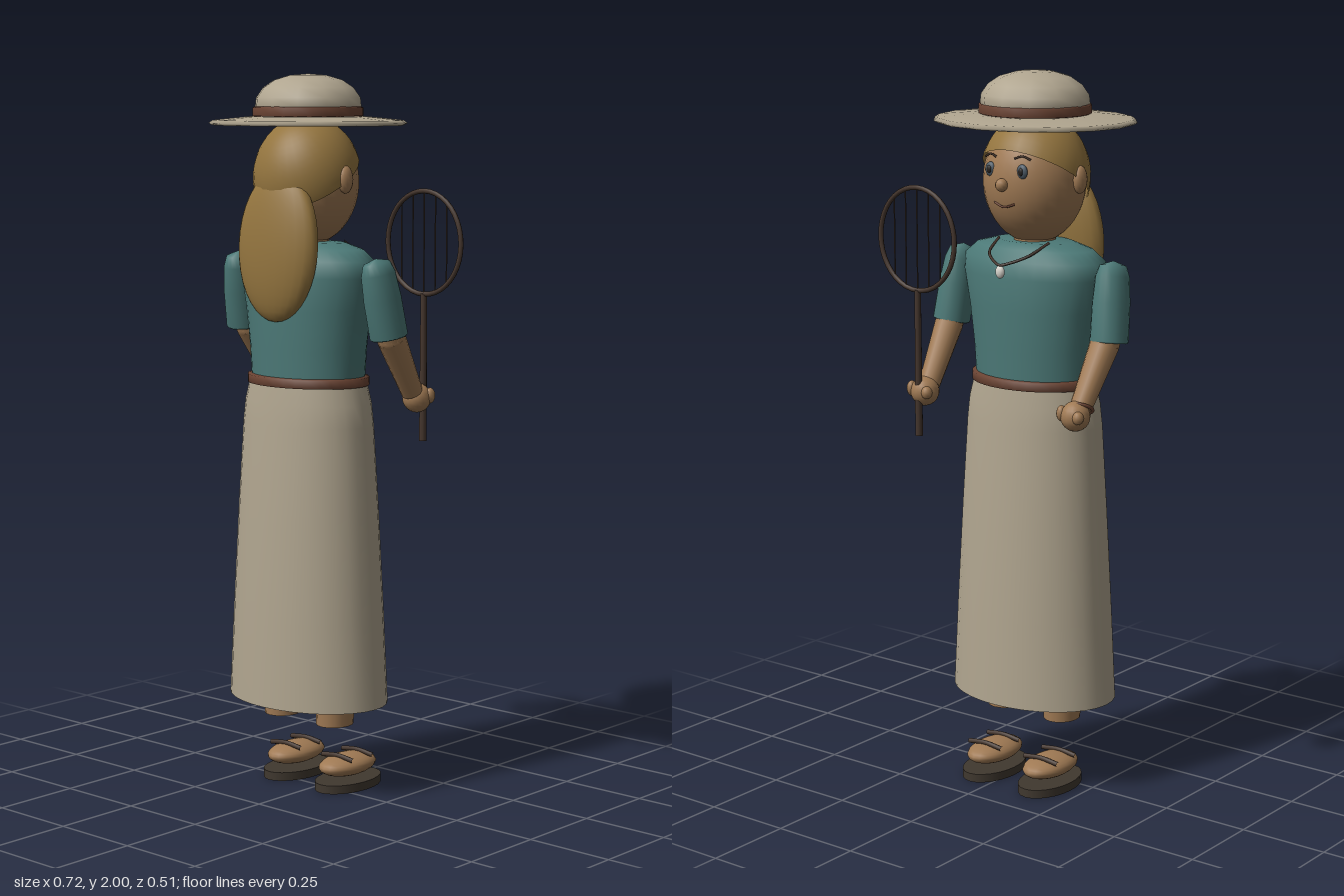
import * as THREE from 'three';

const CX = -0.043; // body axis; the racket reaches out to +x
const mat = (color, side = THREE.FrontSide) => new THREE.MeshStandardMaterial({ color, side });
const SKIN = mat(0xa07a54), HAIR = mat(0x94753f, THREE.DoubleSide), TEAL = mat(0x4b7876);
const CREAM = mat(0xb0a58f, THREE.DoubleSide), BELT = mat(0x6d4534), DARK = mat(0x44352c);
const BLACK = mat(0x26221f), WHITE = mat(0xd8d4cc), SOLE = mat(0x40382f), EYE = mat(0x4c5a66);

function add(parent, name, geo, material, x = 0, y = 0, z = 0) {
  const m = new THREE.Mesh(geo, material);
  m.name = name;
  m.position.set(x, y, z);
  parent.add(m);
  return m;
}

function ball(parent, name, material, [x, y, z], [rx, ry, rz], segs = 16) {
  const m = add(parent, name, new THREE.SphereGeometry(1, segs, Math.max(8, segs * 0.75)), material, x, y, z);
  m.scale.set(rx, ry, rz);
  return m;
}

// Elliptical rings [y, rx, rz] from bottom to top, as a smooth surface
function rings(list, segs) {
  const g = new THREE.LatheGeometry(list.map(([y]) => new THREE.Vector2(1, y)), segs);
  const p = g.attributes.position;
  for (let i = 0; i < p.count; i++) {
    const [y, rx, rz] = list[i % list.length];
    p.setXYZ(i, p.getX(i) * rx, y, p.getZ(i) * rz);
  }
  g.computeVertexNormals();
  // close the shading seam
  const n = g.attributes.normal, last = p.count - list.length;
  for (let i = 0; i < list.length; i++) {
    const v = new THREE.Vector3().fromBufferAttribute(n, i)
      .add(new THREE.Vector3().fromBufferAttribute(n, last + i)).normalize();
    n.setXYZ(i, v.x, v.y, v.z);
    n.setXYZ(last + i, v.x, v.y, v.z);
  }
  return g;
}

const V = (a) => new THREE.Vector3(...a);
const tube = (pts, r, segs = 16, sides = 8, closed = false) =>
  new THREE.TubeGeometry(new THREE.CatmullRomCurve3(pts.map(V), closed), segs, r, sides, closed);

// Tapered round limb between two points
function limb(parent, name, material, a, b, ra, rb, sides = 14) {
  const A = V(a), B = V(b), d = B.clone().sub(A);
  const m = add(parent, name, new THREE.CylinderGeometry(rb, ra, d.length(), sides), material);
  m.position.copy(A).addScaledVector(d, 0.5);
  m.quaternion.setFromUnitVectors(new THREE.Vector3(0, 1, 0), d.normalize());
  return m;
}

function buildHat(parent) {
  const hat = new THREE.Group();
  hat.name = 'hat';
  parent.add(hat);
  add(hat, 'brim', rings([[1.872, 0.01, 0.01], [1.868, 0.17, 0.15], [1.860, 0.278, 0.247], [1.866, 0.29, 0.256],
    [1.874, 0.278, 0.247], [1.884, 0.17, 0.16], [1.886, 0.01, 0.01]], 16), CREAM);
  add(hat, 'crown', rings([[1.88, 0.143, 0.137], [1.91, 0.152, 0.145], [1.935, 0.149, 0.142], [1.962, 0.13, 0.123],
    [1.983, 0.098, 0.093], [1.996, 0.052, 0.05], [2.0, 0.001, 0.001]], 12), CREAM);
  add(hat, 'hatBand', rings([[1.884, 0.15, 0.144], [1.886, 0.156, 0.149], [1.908, 0.156, 0.149], [1.911, 0.15, 0.144]], 24), BELT);
}

function buildHead(parent) {
  const head = new THREE.Group();
  head.name = 'head';
  parent.add(head);
  ball(head, 'face', SKIN, [0, 1.705, 0], [0.14, 0.172, 0.142], 28);
  add(head, 'neck', new THREE.CylinderGeometry(0.055, 0.06, 0.1, 16), SKIN, 0, 1.55, 0);
  // hair cap leaning back from the forehead
  const cap = new THREE.Group();
  cap.name = 'hairCap';
  cap.position.set(0, 1.715, 0.003);
  cap.scale.set(0.151, 0.172, 0.149);
  head.add(cap);
  add(cap, 'hair', new THREE.SphereGeometry(1, 28, 14, 0, Math.PI * 2, 0, 1.58), HAIR).rotation.x = 0.5;
  const tail = ball(head, 'longHair', HAIR, [0, 1.535, 0.122], [0.14, 0.208, 0.053], 24);
  tail.rotation.x = -0.06;
  ball(head, 'nose', SKIN, [0, 1.705, -0.148], [0.017, 0.018, 0.017], 12);
  add(head, 'mouth', tube([[-0.035, 1.655, -0.133], [0, 1.645, -0.137], [0.035, 1.655, -0.133]], 0.003), BELT);
  for (const s of [-1, 1]) {
    ball(head, 'ear', SKIN, [s * 0.145, 1.715, 0.008], [0.018, 0.038, 0.024], 14);
    ball(head, 'eye', EYE, [s * 0.053, 1.742, -0.126], [0.017, 0.02, 0.009], 12);
    ball(head, 'pupil', BLACK, [s * 0.053, 1.742, -0.133], [0.008, 0.011, 0.005], 10);
    add(head, 'eyebrow', tube([[s * 0.03, 1.776, -0.129], [s * 0.053, 1.783, -0.125], [s * 0.076, 1.774, -0.118]], 0.003, 8, 6), DARK);
  }
}

function buildBody(parent) {
  add(parent, 'blouse', rings([[1.15, 0.175, 0.132], [1.25, 0.183, 0.133], [1.36, 0.2, 0.134], [1.45, 0.222, 0.132],
    [1.495, 0.222, 0.12], [1.525, 0.185, 0.098], [1.542, 0.12, 0.075], [1.545, 0.001, 0.001]], 32), TEAL);
  add(parent, 'belt', rings([[1.148, 0.176, 0.134], [1.149, 0.188, 0.144], [1.172, 0.188, 0.144], [1.175, 0.176, 0.134]], 32), BELT);
  add(parent, 'skirt', rings([[0.255, 0.25, 0.185], [0.5, 0.237, 0.177], [0.8, 0.22, 0.163], [1.04, 0.206, 0.148],
    [1.1, 0.199, 0.143], [1.155, 0.183, 0.137]], 32), CREAM);
  add(parent, 'necklace', tube([[-0.085, 1.545, -0.05], [-0.065, 1.515, -0.118], [-0.02, 1.495, -0.15], [0, 1.49, -0.156],
    [0.02, 1.495, -0.15], [0.065, 1.515, -0.118], [0.085, 1.545, -0.05]], 0.004, 30, 6), DARK);
  ball(parent, 'pendant', WHITE, [0, 1.472, -0.155], [0.014, 0.018, 0.01], 12);
}

function buildArm(parent, s) {
  const arm = new THREE.Group();
  arm.name = s > 0 ? 'leftArm' : 'rightArm';
  parent.add(arm);
  // puffed sleeve, open cuff filled by the arm
  const sleeve = add(arm, 'sleeve', rings([[-0.108, 0.001, 0.001], [-0.108, 0.046, 0.05], [-0.104, 0.051, 0.055],
    [0, 0.049, 0.056], [0.07, 0.043, 0.052], [0.1, 0.033, 0.042], [0.112, 0.001, 0.001]], 20), TEAL,
    s * 0.263, 1.396, -0.01);
  sleeve.rotation.set(0.18, 0, s * 0.07);
  const elbow = [s * 0.266, 1.285, -0.045], wrist = [s * 0.259, 1.13, -0.142];
  limb(arm, 'elbow', SKIN, [s * 0.267, 1.34, -0.025], elbow, 0.041, 0.04);
  ball(arm, 'elbowJoint', SKIN, elbow, [0.04, 0.04, 0.04], 14);
  limb(arm, 'forearm', SKIN, elbow, wrist, 0.04, 0.03);
  ball(arm, 'hand', SKIN, [s * 0.258, 1.113, -0.163], [0.04, 0.041, 0.041], 16);
  ball(arm, 'thumb', SKIN, [s * 0.258 + 0.032, 1.12, -0.182], [0.013, 0.022, 0.016], 10);
  ball(arm, 'finger', SKIN, [s * 0.258 - 0.026, 1.115, -0.188], [0.016, 0.018, 0.016], 10);
  if (s < 0) {
    const band = add(arm, 'bracelet', new THREE.TorusGeometry(0.033, 0.005, 8, 20), BELT, ...wrist);
    band.lookAt(V(elbow));
  }
}

function buildLeg(parent, s) {
  const leg = new THREE.Group();
  leg.name = s > 0 ? 'leftLeg' : 'rightLeg';
  leg.position.x = s * 0.099;
  parent.add(leg);
  add(leg, 'shin', new THREE.CylinderGeometry(0.064, 0.05, 0.42, 16), SKIN, 0, 0.4, -0.002).scale.z = 1.12;
  const sole = add(leg, 'sole', new THREE.CylinderGeometry(0.072, 0.072, 0.024, 24), SOLE, 0, 0.012, -0.058);
  sole.scale.z = 1.61;
  ball(leg, 'foot', SKIN, [0, 0.063, -0.056], [0.061, 0.031, 0.102], 20);
  for (const z of [-0.015, -0.1]) {
    add(leg, 'sandalStrap', tube([[-0.058, 0.088, z], [0, 0.094, z], [0.058, 0.088, z]], 0.007, 10, 8), DARK);
  }
}

function buildRacket(parent) {
  const racket = new THREE.Group();
  racket.name = 'racket';
  racket.position.set(0.217, 1.54, -0.188);
  parent.add(racket);
  const rx = 0.13, ry = 0.142;
  const hoop = Array.from({ length: 16 }, (_, i) => {
    const a = (i / 16) * Math.PI * 2;
    return [Math.cos(a) * rx, Math.sin(a) * ry, 0];
  });
  add(racket, 'hoop', tube(hoop, 0.007, 40, 8, true), DARK);
  add(racket, 'handle', new THREE.CylinderGeometry(0.009, 0.011, 0.41, 10), DARK, 0, -0.345, 0);
  for (let i = -2; i <= 2; i++) {
    const x = i * 0.04, h = 2 * ry * Math.sqrt(1 - (x / rx) ** 2);
    add(racket, 'string', new THREE.CylinderGeometry(0.002, 0.002, h * 0.97, 6), DARK, x, 0, 0);
  }
}

export function createModel() {
  const model = new THREE.Group();
  model.name = 'racketPlayer';
  const figure = new THREE.Group();
  figure.name = 'figure';
  figure.position.x = CX;
  model.add(figure);
  buildHat(figure);
  buildHead(figure);
  buildBody(figure);
  for (const s of [-1, 1]) {
    buildArm(figure, s);
    buildLeg(figure, s);
  }
  buildRacket(model);
  return model;
}
